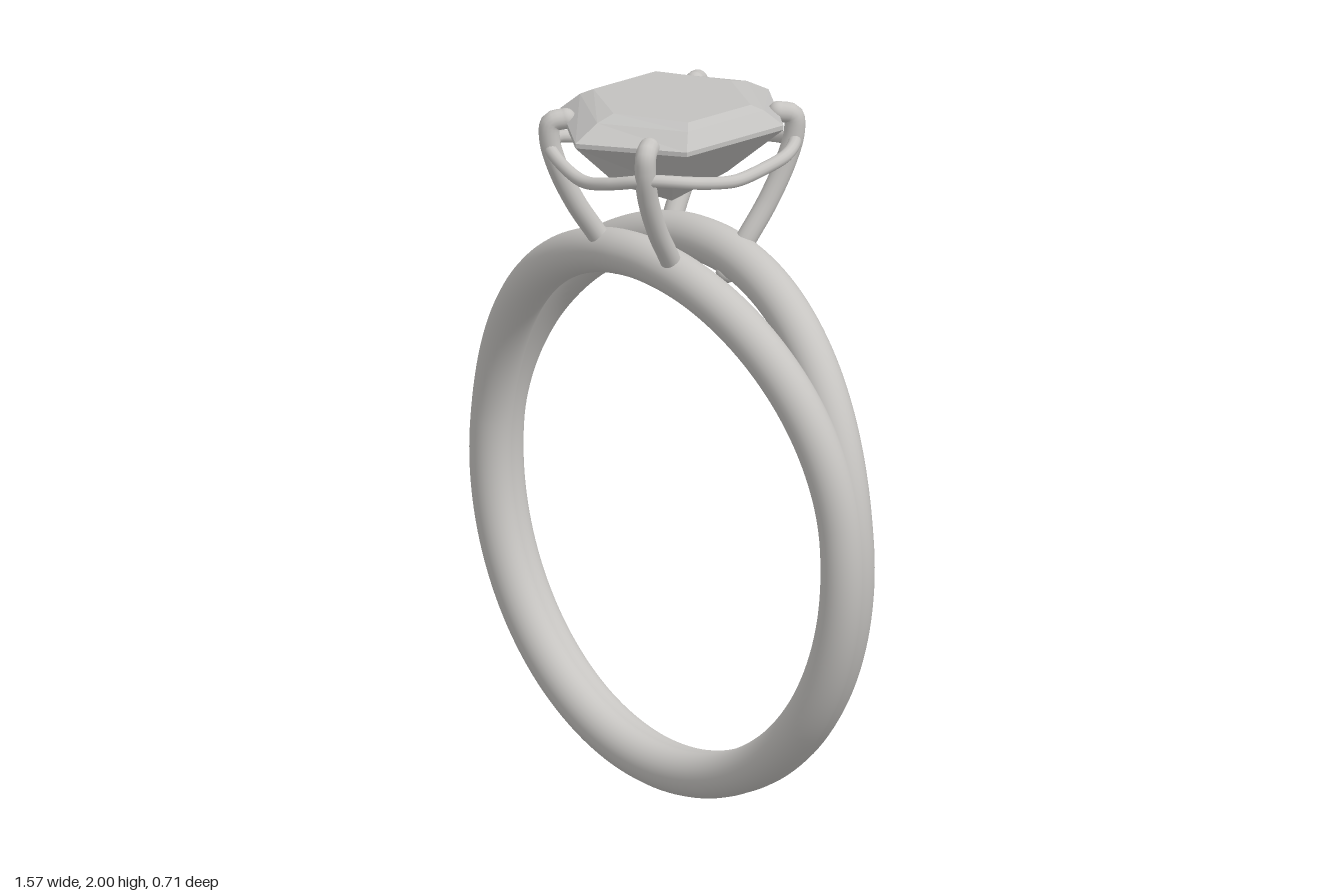
import * as THREE from 'three';

const V = (x, y, z) => new THREE.Vector3(x, y, z);

// Oval band path whose sideways offset grows towards the top, making the split shank
class ShankCurve extends THREE.Curve {
  constructor(side) {
    super();
    this.side = side;
  }
  getPoint(t, target = new THREE.Vector3()) {
    const a = t * Math.PI * 2 - Math.PI / 2;
    const y = 0.8125 + 0.75 * Math.sin(a);
    const k = THREE.MathUtils.clamp((y - 0.9) / 0.66, 0, 1);
    const spread = 0.016 + 0.098 * Math.pow(k, 1.7);
    return target.set(0.7225 * Math.cos(a), y, this.side * spread);
  }
}

// Flat-faceted solid from stacked six-sided rings [y, sideX, sideZ, pointZ], top to bottom
function facetedStone(rings, culetY) {
  const loops = rings.map(([y, x, z, p]) => [
    V(0, y, p), V(x, y, z), V(x, y, -z), V(0, y, -p), V(-x, y, -z), V(-x, y, z),
  ]);
  const culet = V(0, culetY, 0);
  const top = V(0, rings[0][0], 0);
  const pos = [];
  const tri = (...pts) => pts.forEach((p) => pos.push(p.x, p.y, p.z));
  for (let i = 0; i < 6; i++) {
    const j = (i + 1) % 6;
    tri(top, loops[0][i], loops[0][j]);
    for (let r = 0; r < loops.length - 1; r++) {
      const a = loops[r], b = loops[r + 1];
      tri(a[i], b[i], b[j]);
      tri(a[i], b[j], a[j]);
    }
    const last = loops[loops.length - 1];
    tri(last[i], culet, last[j]);
  }
  const geo = new THREE.BufferGeometry();
  geo.setAttribute('position', new THREE.Float32BufferAttribute(pos, 3));
  geo.computeVertexNormals();
  return geo;
}

export function createModel() {
  const ring = new THREE.Group();
  ring.name = 'ring';
  const metal = new THREE.MeshStandardMaterial({ color: 0xc6c4c1 });
  metal.name = 'metal';
  const stone = new THREE.MeshStandardMaterial({ color: 0xc2c1bf });
  stone.name = 'stone';

  const add = (parent, name, geo, mat) => {
    const mesh = new THREE.Mesh(geo, mat);
    mesh.name = name;
    parent.add(mesh);
    return mesh;
  };

  // Band: two tubes merged at the bottom and parting at the top
  for (const side of [1, -1]) {
    add(ring, side > 0 ? 'frontShank' : 'backShank',
      new THREE.TubeGeometry(new ShankCurve(side), 160, 0.0625, 28, true), metal);
  }

  // Claw prongs, passing through the band and hooking over the stone
  const prongR = 0.029;
  for (const sx of [1, -1]) {
    for (const sz of [1, -1]) {
      const prong = new THREE.Group();
      prong.name = (sz > 0 ? 'front' : 'back') + (sx > 0 ? 'Left' : 'Right') + 'Prong';
      const pts = [
        [0.128, 1.505, 0.085], [0.15, 1.6, 0.142], [0.168, 1.7, 0.205],
        [0.186, 1.81, 0.255], [0.197, 1.89, 0.274], [0.195, 1.938, 0.27],
        [0.172, 1.948, 0.238],
      ].map(([x, y, z]) => V(sx * x, y, sz * z));
      const curve = new THREE.CatmullRomCurve3(pts);
      add(prong, 'claw', new THREE.TubeGeometry(curve, 48, prongR, 16), metal);
      for (const end of [pts[0], pts[pts.length - 1]]) {
        add(prong, 'roundedEnd', new THREE.SphereGeometry(prongR, 16, 12), metal)
          .position.copy(end);
      }
      ring.add(prong);
    }
  }

  // Gallery wire: closed loop rising at the prongs and dipping between them
  const quarter = [
    [0.268, 1.825, 0], [0.272, 1.838, 0.09], [0.27, 1.857, 0.175],
    [0.205, 1.867, 0.268], [0.1, 1.842, 0.308],
  ];
  const wire = [];
  for (const [sx, sz] of [[1, 1], [-1, 1], [-1, -1], [1, -1]]) {
    const flip = sx * sz < 0;
    const pts = quarter.map(([x, y, z]) => V(sx * x, y, sz * z));
    const mid = V(0, 1.825, sz * 0.32);
    wire.push(...(flip ? [mid, ...pts.slice(1).reverse()] : pts));
  }
  add(ring, 'galleryWire',
    new THREE.TubeGeometry(new THREE.CatmullRomCurve3(wire, true), 160, 0.018, 12, true), metal);

  // Elongated hexagonal stone: table, two crown steps, girdle and pavilion
  add(ring, 'gemstone', facetedStone([
    [2.0, 0.195, 0.115, 0.215],
    [1.985, 0.222, 0.14, 0.275],
    [1.943, 0.26, 0.178, 0.355],
    [1.93, 0.26, 0.178, 0.355],
    [1.79, 0.115, 0.1, 0.2],
  ], 1.7), stone);

  return ring;
}
